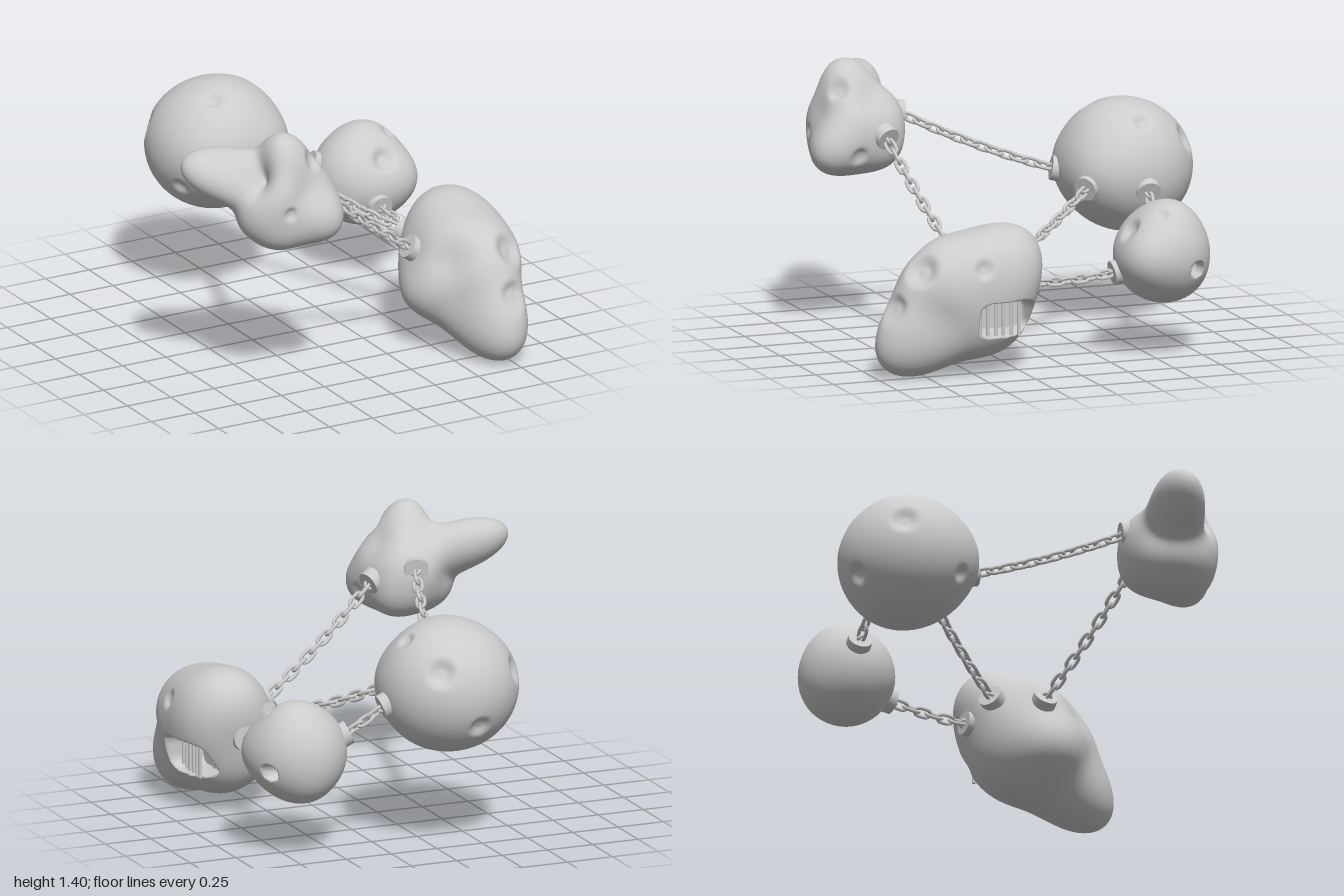
import * as THREE from 'three';
import { mergeVertices } from 'three/addons/utils/BufferGeometryUtils.js';

const V = (x, y, z) => new THREE.Vector3(x, y, z);
const UP = V(0, 1, 0);
const { smoothstep, lerp } = THREE.MathUtils;

function part(name, geometry) {
  const mesh = new THREE.Mesh(geometry, new THREE.MeshStandardMaterial({ color: 0xcccccc }));
  mesh.name = name;
  return mesh;
}

// Ellipsoid radius by direction, pulled smoothly through a few surface points
function fitRadius(center, axes, points, sigma) {
  const base = (d) => 1 / d.clone().divide(axes).length();
  const kernel = (a, b) => Math.exp(-a.distanceToSquared(b) / (2 * sigma * sigma));
  const offs = points.map((p) => V(...p).sub(center));
  const dirs = offs.map((o) => o.clone().normalize());
  const n = dirs.length;
  const m = dirs.map((d, i) => [
    ...dirs.map((e, j) => kernel(d, e) + (i === j ? 0.02 : 0)), offs[i].length() - base(d)]);
  for (let i = 0; i < n; i++)
    for (let r = i + 1; r < n; r++) {
      const f = m[r][i] / m[i][i];
      for (let c = i; c <= n; c++) m[r][c] -= f * m[i][c];
    }
  const w = new Array(n).fill(0);
  for (let i = n - 1; i >= 0; i--) {
    let s = m[i][n];
    for (let c = i + 1; c < n; c++) s -= m[i][c] * w[c];
    w[i] = s / m[i][i];
  }
  return (d) => dirs.reduce((s, e, i) => s + w[i] * kernel(d, e), base(d));
}

// Asteroid: deformed sphere with craters [x, y, z, radius] and an optional carved recess
function asteroid({ name, center, axes, points, craters, detail, sigma, carve }) {
  const radius = fitRadius(center, axes, points, sigma);
  const pits = craters.map(([x, y, z, size]) => ({ axis: V(x, y, z).sub(center).normalize(), size }));
  let geo = new THREE.IcosahedronGeometry(1, detail);
  geo.deleteAttribute('uv');
  geo.deleteAttribute('normal');
  geo = mergeVertices(geo, 1e-5);
  const pos = geo.attributes.position;
  const v = V(0, 0, 0);
  for (let i = 0; i < pos.count; i++) {
    v.fromBufferAttribute(pos, i).normalize();
    const r0 = radius(v);
    let r = r0;
    for (const { axis, size } of pits) {
      const t = v.dot(axis);
      if (t <= 0) continue;
      const d = r0 * Math.sqrt(Math.max(0, 1 - t * t));
      r -= 0.36 * size * (1 - smoothstep(d, 0.25 * size, size));
    }
    v.multiplyScalar(r).add(center);
    if (carve) carve(v);
    pos.setXYZ(i, v.x, v.y, v.z);
  }
  geo.computeVertexNormals();
  return part(name, geo);
}

// Barred window recess on the +x side of the long asteroid
function carveWindow(v) {
  if (v.x < 0.68) return;
  const q = (((v.z - 0.365) / 0.155) ** 4 + ((v.y - 0.285) / 0.092) ** 4) ** 0.25;
  v.x = lerp(v.x, 0.74, 1 - smoothstep(q, 0.92, 1.03));
}

// Round drilled hole on the +x side of the small asteroid
function carveHole(v) {
  if (v.x < 0.7) return;
  const q = Math.hypot(v.z + 0.67, v.y - 0.46);
  v.x = lerp(v.x, 0.78, 1 - smoothstep(q, 0.034, 0.042));
}

const big = {
  name: 'largeRoundAsteroid', center: V(-0.11, 0.81, -0.66), axes: V(0.352, 0.336, 0.342),
  detail: 28, sigma: 0.4,
  points: [[0.16, 0.81, -0.38], [-0.32, 0.81, -0.35], [-0.11, 1.12, -0.48],
    [0.11, 1.09, -0.66], [0.14, 0.56, -0.66], [-0.11, 1, -0.94]],
  craters: [[0.05, 0.95, -0.92, 0.09], [-0.4, 0.9, -0.83, 0.09], [-0.2, 1.1, -0.5, 0.06],
    [0.13, 1.07, -0.66, 0.055], [-0.38, 0.68, -0.5, 0.055], [-0.15, 0.65, -0.98, 0.07]],
};

const small = {
  name: 'smallRoundAsteroid', center: V(0.68, 0.52, -0.55), axes: V(0.25, 0.25, 0.245),
  detail: 28, sigma: 0.4, carve: carveHole,
  points: [[0.74, 0.785, -0.61], [0.68, 0.33, -0.74], [0.9, 0.52, -0.36],
    [0.7, 0.66, -0.37], [0.68, 0.26, -0.58]],
  craters: [[0.72, 0.66, -0.36, 0.08], [0.8, 0.72, -0.51, 0.045]],
};

const long = {
  name: 'longAsteroid', center: V(0.67, 0.38, 0.53), axes: V(0.29, 0.34, 0.43),
  detail: 40, sigma: 0.38, carve: carveWindow,
  points: [
    [0.68, 0.12, 1], [0.68, 0.01, 0.92], [0.67, 0.03, 0.6], [0.67, 0.09, 0.31],
    [0.68, 0.25, 0.18], [0.68, 0.42, 0.14], [0.72, 0.69, 0.18], [0.7, 0.71, 0.5],
    [0.68, 0.58, 0.8], [0.68, 0.33, 0.94], [0.36, 0.25, 0.5], [0.42, 0.48, 0.45],
    [0.5, 0.12, 0.5], [0.52, 0.5, 0.19], [0.57, 0.2, 0.9], [0.95, 0.45, 0.5],
    [0.935, 0.3, 0.5], [0.85, 0.12, 0.5], [0.86, 0.68, 0.42], [0.89, 0.5, 0.2],
    [0.87, 0.25, 0.8], [0.52, 0.5, 0.7]],
  craters: [[0.75, 0.34, 0.93, 0.09], [0.8, 0.55, 0.8, 0.11], [0.92, 0.55, 0.5, 0.06]],
};

const spiky = {
  name: 'spikyAsteroid', center: V(-0.47, 1.07, 0.68), axes: V(0.28, 0.26, 0.24),
  detail: 28, sigma: 0.38,
  points: [
    [-0.96, 1.21, 0.57], [-0.85, 1.09, 0.6], [-0.74, 1.21, 0.67], [-0.5, 1.385, 0.74],
    [-0.3, 1.2, 0.65], [-0.22, 1.03, 0.62], [-0.2, 0.96, 0.8], [-0.26, 0.91, 0.93],
    [-0.4, 1.1, 0.88], [-0.46, 1.25, 0.85], [-0.5, 0.95, 0.9], [-0.56, 0.82, 0.83],
    [-0.65, 1.1, 0.77], [-0.76, 1.02, 0.63], [-0.5, 0.82, 0.6], [-0.3, 0.88, 0.51],
    [-0.31, 1.1, 0.47], [-0.5, 1.1, 0.44], [-0.5, 1.25, 0.54], [-0.71, 1.1, 0.47]],
  craters: [[-0.52, 1.02, 0.88, 0.045], [-0.36, 1.24, 0.79, 0.07], [-0.2, 0.92, 0.74, 0.055]],
};

// Oval chain link, long along y
function linkGeometry() {
  const pts = [];
  for (const s of [1, -1])
    for (let k = 0; k < 5; k++) {
      const t = (k * Math.PI) / 4;
      pts.push(V(s * 0.02 * Math.cos(t), s * (0.024 + 0.02 * Math.sin(t)), 0));
    }
  return new THREE.TubeGeometry(new THREE.CatmullRomCurve3(pts, true), 28, 0.0095, 7, true);
}

const linkGeo = linkGeometry();
const mountGeo = new THREE.CylinderGeometry(0.062, 0.066, 0.055, 28);

// Slightly sagging chain from point a on one asteroid to point b on another
function chain(from, a, to, b) {
  const group = new THREE.Group();
  group.name = 'chain';
  const span = a.distanceTo(b);
  const mid = a.clone().lerp(b, 0.5);
  mid.y -= span * 0.05;
  // Round mounts, turned between the surface and the chain
  for (const [p, q, body] of [[a, b, from], [b, a, to]]) {
    const out = p.clone().sub(body.center).normalize();
    out.add(q.clone().sub(p).normalize()).normalize();
    const mount = part('chainMount', mountGeo);
    mount.position.copy(p);
    mount.quaternion.setFromUnitVectors(UP, out);
    group.add(mount);
  }
  const curve = new THREE.QuadraticBezierCurve3(a, mid, b);
  const count = Math.round(span / 0.064);
  for (let i = 0; i <= count; i++) {
    const link = part('chainLink', linkGeo);
    link.position.copy(curve.getPointAt(i / count));
    link.quaternion.setFromUnitVectors(UP, curve.getTangentAt(i / count));
    link.rotateY(Math.PI / 4 + (i % 2) * Math.PI / 2);
    group.add(link);
  }
  return group;
}

export function createModel() {
  const model = new THREE.Group();
  model.name = 'chainedAsteroids';
  for (const body of [big, small, long, spiky]) model.add(asteroid(body));

  model.add(
    chain(big, V(-0.17, 0.8, -0.31), spiky, V(-0.41, 1.1, 0.45)),
    chain(spiky, V(-0.23, 1.02, 0.59), long, V(0.42, 0.51, 0.45)),
    chain(big, V(0.12, 0.755, -0.37), long, V(0.515, 0.5, 0.2)),
    chain(big, V(0.24, 0.74, -0.65), small, V(0.45, 0.6, -0.61)),
    chain(small, V(0.66, 0.43, -0.32), long, V(0.67, 0.41, 0.15)),
  );

  // Window bars
  const barGeo = new THREE.CylinderGeometry(0.009, 0.009, 0.2, 10);
  for (let i = 0; i < 6; i++) {
    const bar = part('windowBar', barGeo);
    bar.position.set(0.85, 0.285, 0.285 + i * 0.042);
    model.add(bar);
  }
  return model;
}
